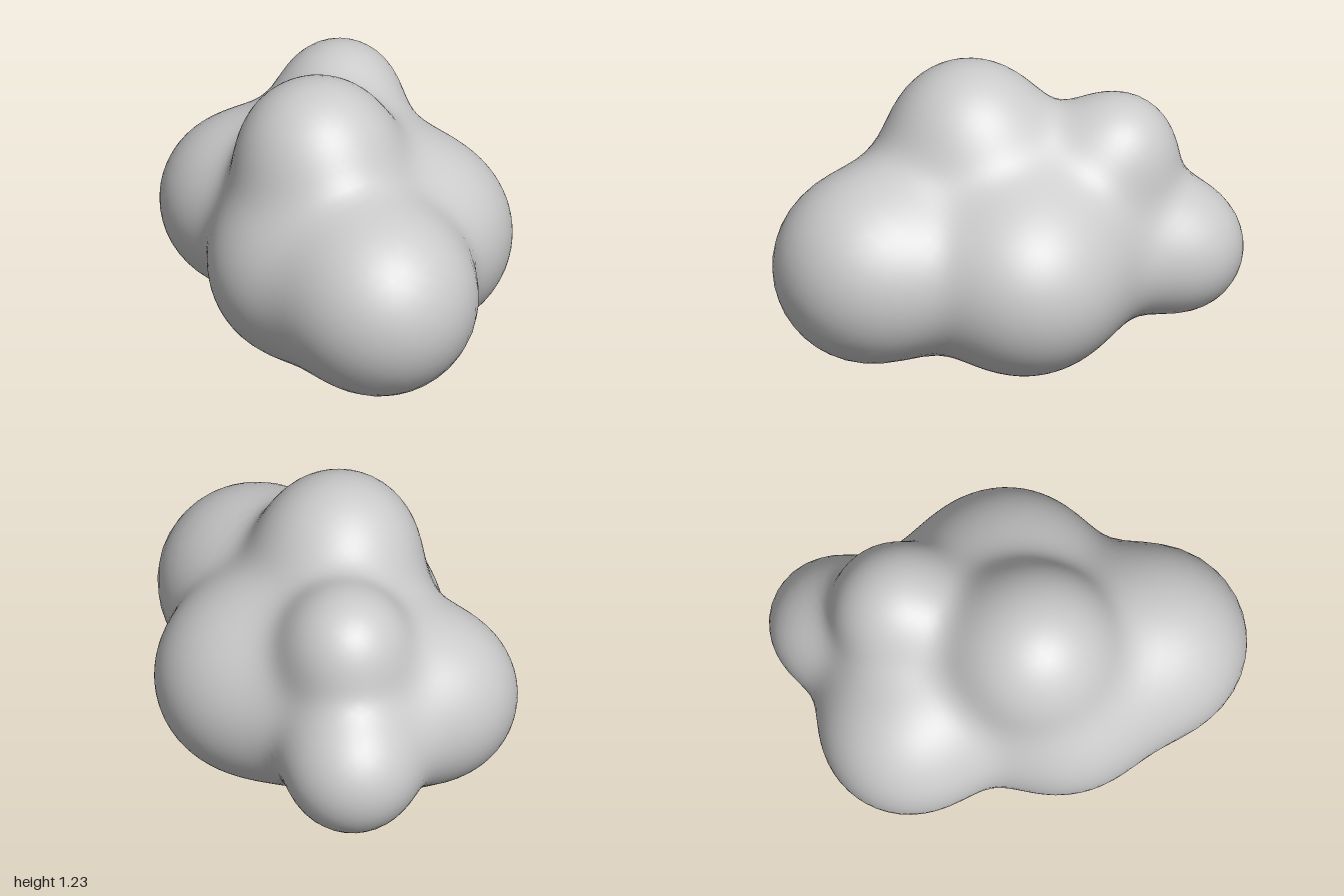
import * as THREE from 'three';
import { mergeVertices } from 'three/addons/utils/BufferGeometryUtils.js';

// Lobes of the lump: x, y, z, radius
const LOBES = [
  [0.035, 0.445, 0.6, 0.4],      // front
  [-0.145, 0.9, 0.105, 0.32],    // crown
  [0.305, 0.425, 0, 0.39],       // left side
  [-0.345, 0.435, -0.42, 0.36],  // right rear
  [-0.24, 0.43, 0.22, 0.37],     // right front
  [0.065, 0.85, -0.48, 0.23],    // upper rear
  [0.14, 0.395, -0.73, 0.265],   // lower rear
  [0.06, 0.435, -0.17, 0.38],    // core
];
const BLEND = 0.1;

// Distance to the softly blended union of the lobes
function distance(p) {
  let sum = 0;
  for (const [x, y, z, r] of LOBES) {
    sum += Math.exp((r - Math.hypot(p.x - x, p.y - y, p.z - z)) / BLEND);
  }
  return -BLEND * Math.log(sum);
}

export function createModel() {
  const group = new THREE.Group();
  group.name = 'cloudLump';

  // Shrink a sphere inwards until each vertex rests on the blended surface
  let geo = new THREE.IcosahedronGeometry(1, 18);
  geo.deleteAttribute('normal');
  geo.deleteAttribute('uv');
  geo = mergeVertices(geo, 1e-4);
  const centre = new THREE.Vector3(0.02, 0.52, -0.15);
  const pos = geo.attributes.position;
  const dir = new THREE.Vector3();
  const p = new THREE.Vector3();
  for (let i = 0; i < pos.count; i++) {
    dir.fromBufferAttribute(pos, i).normalize();
    let t = 1.5;
    for (let s = 0; s < 150; s++) {
      p.copy(centre).addScaledVector(dir, t);
      const d = distance(p);
      if (d < 1e-4) break;
      t -= d;
    }
    pos.setXYZ(i, p.x, p.y, p.z);
  }

  // Rest the lump on the ground
  geo.computeBoundingBox();
  geo.translate(0, -geo.boundingBox.min.y, 0);
  geo.computeVertexNormals();

  const body = new THREE.Mesh(geo, new THREE.MeshStandardMaterial({ color: 0xcccccc }));
  body.name = 'lumpyBody';
  group.add(body);
  return group;
}
